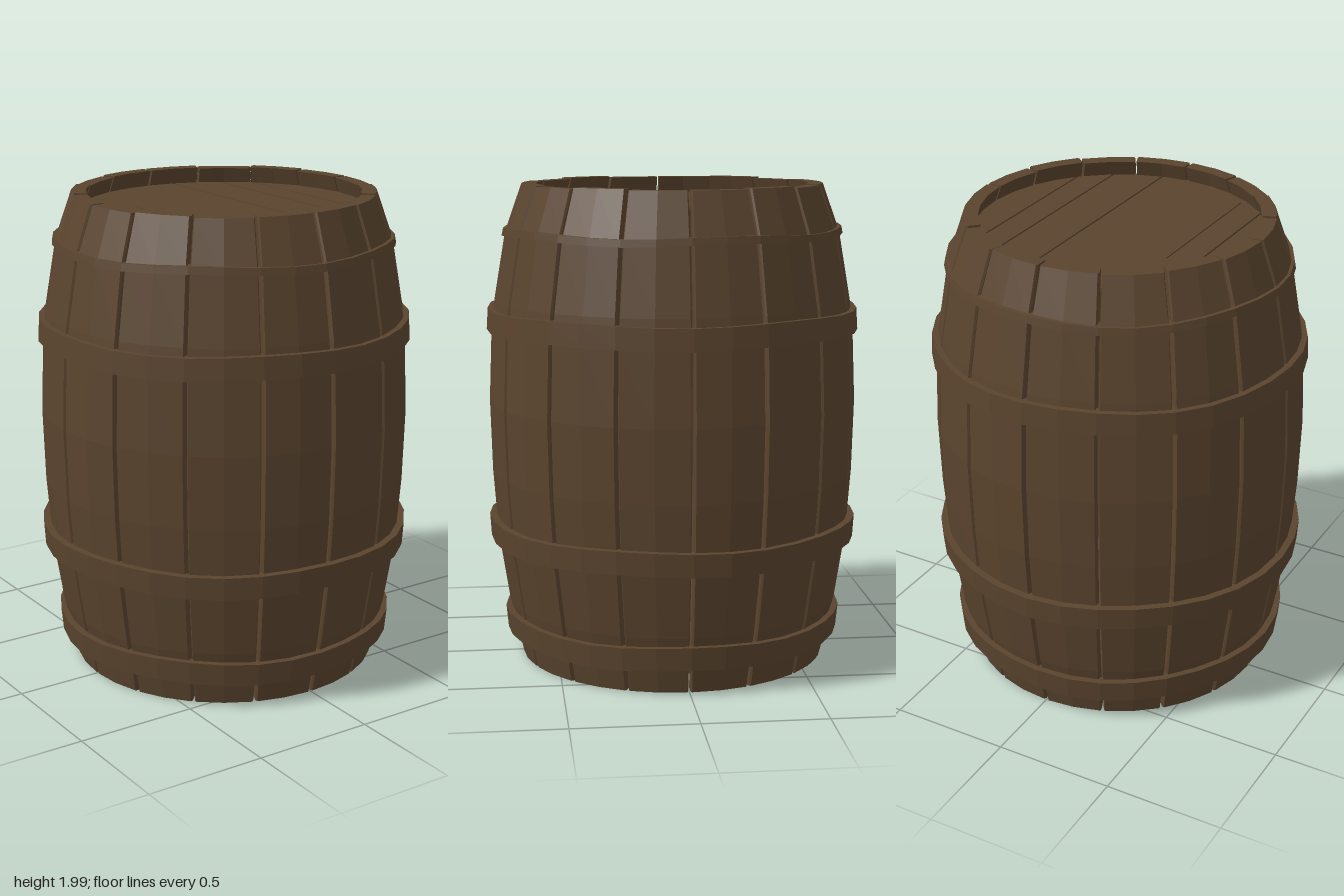
import * as THREE from 'three';

const STAVES = 16;
const HALF = Math.PI / STAVES;
// outer barrel profile: [height, radius]
const PROFILE = [[0.01, 0.64], [0.11, 0.66], [0.25, 0.695], [0.52, 0.737], [0.8, 0.758], [1.1, 0.766],
  [1.4, 0.754], [1.52, 0.74], [1.8, 0.692], [2, 0.622]];

const flat = (geometry) => {
  const g = geometry.index ? geometry.toNonIndexed() : geometry;
  g.computeVertexNormals();
  return g;
};

// one bowed stave with two outer facets and chamfered long edges
function staveGeometry(top) {
  const gap = 0.005, chamfer = 0.009, thick = 0.06;
  const pos = [], index = [], n = 8;
  PROFILE.forEach(([y, r], level) => {
    const h = level === PROFILE.length - 1 ? top : y;
    const ri = r - thick;
    const side = (rad, g) => HALF - g / rad;
    const section = [
      [r - chamfer, -side(r, gap)], [r, -side(r, gap + chamfer * 0.6)], [r, 0], [r, side(r, gap + chamfer * 0.6)],
      [r - chamfer, side(r, gap)], [ri, side(ri, gap)], [ri, 0], [ri, -side(ri, gap)]];
    section.forEach(([rad, a]) => pos.push(rad * Math.sin(a), h, rad * Math.cos(a)));
  });
  const last = (PROFILE.length - 1) * n;
  for (let l = 0; l < last; l += n) {
    for (let k = 0; k < n; k++) {
      const a = l + k, b = l + (k + 1) % n;
      index.push(a, b, a + n, b, b + n, a + n);
    }
  }
  // end caps, fanned from the middle of the outer face
  for (let k = 3; k < n + 1; k++) {
    const a = k % n, b = (k + 1) % n;
    index.push(last + 2, last + a, last + b, 2, b, a);
  }
  const g = new THREE.BufferGeometry();
  g.setAttribute('position', new THREE.Float32BufferAttribute(pos, 3));
  g.setIndex(index);
  return flat(g);
}

// slightly uneven band around the staves
function hoopGeometry(y0, r0, y1, r1, wave, phase) {
  const t = 0.045;
  const points = [[r0 - t, y0], [r0, y0], [r1, y1], [r1 - t, y1], [r0 - t, y0]].map((p) => new THREE.Vector2(...p));
  const g = new THREE.LatheGeometry(points, STAVES * 2);
  const p = g.attributes.position;
  for (let i = 0; i < p.count; i++) {
    const a = Math.atan2(p.getX(i), p.getZ(i));
    p.setY(i, p.getY(i) + wave * Math.sin(5 * a + phase));
  }
  return flat(g);
}

// lid board: slice of a disc between two x positions
function boardGeometry(x0, x1, radius, slot) {
  const shape = new THREE.Shape();
  const steps = 8, pts = [];
  const a0 = Math.acos(THREE.MathUtils.clamp(x0 / radius, -1, 1));
  const a1 = Math.acos(THREE.MathUtils.clamp(x1 / radius, -1, 1));
  for (let i = 0; i <= steps; i++) {
    const a = a0 + (a1 - a0) * i / steps;
    pts.push(new THREE.Vector2(radius * Math.cos(a), radius * Math.sin(a)));
  }
  const mirrored = pts.map((p) => new THREE.Vector2(p.x, -p.y)).reverse();
  shape.setFromPoints([...pts, ...mirrored].filter((p, i, all) => i === 0 || p.distanceTo(all[i - 1]) > 1e-4));
  if (slot) {
    const [x, z0, z1] = slot;
    shape.holes.push(new THREE.Path([[x - 0.003, z0], [x + 0.003, z0], [x + 0.003, z1], [x - 0.003, z1]]
      .map((p) => new THREE.Vector2(...p))));
  }
  const g = new THREE.ExtrudeGeometry(shape, { depth: 0.015, bevelEnabled: false });
  return flat(g.rotateX(Math.PI / 2));
}

export function createModel() {
  const wood = new THREE.MeshStandardMaterial({ color: 0x5a442e, flatShading: true });
  wood.name = 'brown wood';
  const barrel = new THREE.Group();
  barrel.name = 'barrel';
  const add = (parent, name, geometry) => {
    const mesh = new THREE.Mesh(geometry, wood);
    mesh.name = name;
    parent.add(mesh);
    return mesh;
  };

  // staves, with seams on the main axes
  const staves = new THREE.Group();
  staves.name = 'staves';
  barrel.add(staves);
  for (let i = 0; i < STAVES; i++) {
    const stave = add(staves, 'stave', staveGeometry(2 - 0.003 * (1 + Math.sin(i * 2.3))));
    stave.rotation.y = (i + 0.5) * HALF * 2;
  }

  // hoops: bottom height and radius, top height and radius, unevenness
  [['bottomHoop', 0.115, 0.703, 0.21, 0.712, 0.005],
    ['lowerHoop', 0.515, 0.768, 0.61, 0.774, 0.005],
    ['upperHoop', 1.4, 0.774, 1.49, 0.768, 0.005],
    ['topHoop', 1.79, 0.706, 1.82, 0.7, 0.006],
  ].forEach(([name, ...size], i) => add(barrel, name, hoopGeometry(...size, i * 1.7)));

  // recessed plank lid
  const lid = new THREE.Group();
  lid.name = 'lid';
  lid.position.y = 1.93;
  barrel.add(lid);
  const seams = [-0.6, -0.43, 0.115, 0.31, 0.43, 0.6];
  for (let i = 0; i < seams.length - 1; i++) {
    const slot = i === 1 ? [-0.31, -0.19, 0.47] : null;
    add(lid, 'lidBoard', boardGeometry(seams[i] + 0.004, seams[i + 1] - 0.004, 0.6, slot));
  }

  // recessed base
  const base = add(barrel, 'base', flat(new THREE.CylinderGeometry(0.62, 0.62, 0.015, STAVES * 2)));
  base.position.y = 0.09;
  return barrel;
}
